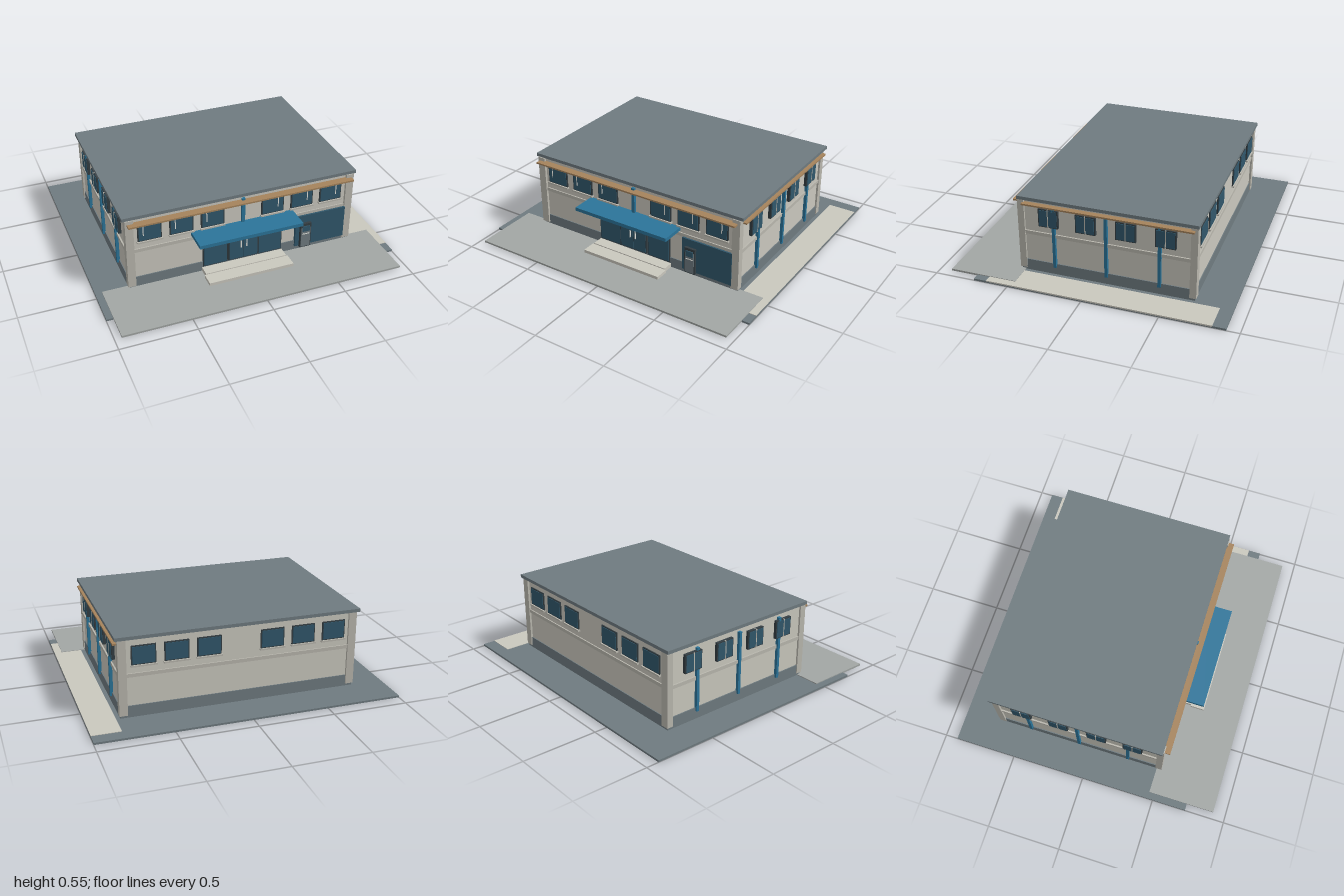
import * as THREE from 'three';

function material(name, color) {
  const m = new THREE.MeshStandardMaterial({ color });
  m.name = name;
  return m;
}

export function createModel() {
  const model = new THREE.Group();
  model.name = 'building';
  const wall = material('warm white wall', 0xcac8be);
  const trim = material('stone trim', 0xb9b7ae);
  const slate = material('slate grey', 0x6f7b80);
  const paving = material('paving grey', 0xa2a6a4);
  const blue = material('accent blue', 0x2b7499);
  const glass = material('dark blue glass', 0x31576b);
  const frame = material('dark frame', 0x343e43);
  const wood = material('wood', 0xa5835c);
  const white = material('off white', 0xe2e2dc);

  // Box given by its extents along each axis
  function box(name, mat, [x0, x1], [y0, y1], [z0, z1], parent = model) {
    const mesh = new THREE.Mesh(new THREE.BoxGeometry(x1 - x0, y1 - y0, z1 - z0), mat);
    mesh.position.set((x0 + x1) / 2, (y0 + y1) / 2, (z0 + z1) / 2);
    mesh.name = name;
    parent.add(mesh);
    return mesh;
  }

  // Grounds
  box('groundSlab', slate, [-1, 1], [0, 0.013], [-0.915, 0.73]);
  box('sidePath', wall, [0.81, 1], [0.006, 0.016], [-0.83, 0.645]);
  box('forecourt', paving, [-0.955, 0.95], [0.006, 0.019], [0.465, 0.915]);

  // Main body
  box('walls', wall, [-0.775, 0.775], [0.013, 0.535], [-0.66, 0.482]);
  box('plinth', slate, [-0.782, 0.782], [0.012, 0.09], [-0.666, 0.488]);
  box('beltCourse', trim, [-0.785, 0.785], [0.281, 0.305], [-0.668, 0.49]);
  box('roof', slate, [-0.805, 0.805], [0.531, 0.553], [-0.683, 0.493]);
  for (const s of [-1, 1]) {
    for (const [z0, z1] of [[-0.674, -0.63], [0.455, 0.499]]) {
      const x = [s * 0.735, s * 0.788].sort((a, b) => a - b);
      box('cornerPillar', trim, x, [0.03, 0.53], [z0, z1]);
    }
  }
  box('frontWoodBeam', wood, [-0.775, 0.77], [0.496, 0.507], [0.482, 0.535]);
  box('sideWoodBeam', wood, [0.775, 0.812], [0.496, 0.507], [-0.655, 0.462]);

  // Window facing +z with its wall plane at z = 0
  function makeWindow(width, depth, barX, sill) {
    const g = new THREE.Group();
    g.name = 'window';
    const w = width / 2, h = 0.0625;
    box('windowFrame', frame, [-w, w], [-h, h], [-0.005, depth - 0.004], g);
    box('windowGlass', glass, [-w + 0.007, w - 0.007], [-h + 0.007, h - 0.007], [0, depth], g);
    if (sill) {
      box('windowSill', trim, [-w - 0.006, w + 0.006], [-h - 0.011, -h], [-0.005, depth + 0.006], g);
      box('windowBar', white, [barX - 0.003, barX + 0.003], [-0.02, 0.047], [depth - 0.002, depth + 0.002], g);
    } else {
      box('windowMullion', trim, [barX - 0.003, barX + 0.003], [-h, h], [0, depth + 0.002], g);
    }
    return g;
  }

  // Front and back window rows
  for (const x of [-0.63, -0.42, -0.21, 0.207, 0.416, 0.625]) {
    const front = makeWindow(0.157, 0.014, x < 0 ? -0.043 : 0.036, true);
    front.position.set(x, 0.422, 0.482);
    model.add(front);
    const back = makeWindow(0.157, 0.012, 0, true);
    back.remove(back.getObjectByName('windowBar'));
    back.rotation.y = Math.PI;
    back.position.set(x, 0.422, -0.66);
    model.add(back);
  }

  // Side windows and slim blue columns
  for (const s of [-1, 1]) {
    for (const z of [0.29, 0.042, -0.22, -0.475]) {
      const side = makeWindow(0.132, 0.024, 0, false);
      side.rotation.y = s * Math.PI / 2;
      side.position.set(s * 0.775, 0.418, z);
      model.add(side);
    }
    for (const z of [0.257, -0.09, -0.437]) {
      const x = [s * 0.77, s * 0.795].sort((a, b) => a - b);
      box('sideColumn', blue, x, [0.068, 0.498], [z - 0.01, z + 0.01]);
    }
  }
  box('frontColumn', blue, [-0.012, 0.01], [0.34, 0.52], [0.48, 0.5]);

  // Entrance: glazed side panels and double door
  for (const s of [-1, 1]) {
    const panel = [s * 0.108, s * 0.278].sort((a, b) => a - b);
    box('entrancePanelFrame', frame, panel, [0.055, 0.285], [0.48, 0.495]);
    box('entrancePanelGlass', glass, [panel[0] + 0.006, panel[1] - 0.006], [0.062, 0.278], [0.485, 0.499]);
    const leaf = [s * 0.002, s * 0.098].sort((a, b) => a - b);
    box('doorLeaf', glass, leaf, [0.072, 0.292], [0.49, 0.51]);
    const x = s * 0.02;
    box('doorHandle', white, [x - 0.003, x + 0.003], [0.155, 0.21], [0.505, 0.517]);
  }
  box('doorFrame', frame, [-0.106, 0.104], [0.065, 0.3], [0.48, 0.506]);

  // Canopy and steps
  box('canopy', blue, [-0.356, 0.354], [0.318, 0.342], [0.482, 0.652]);
  box('canopyBeam', blue, [-0.32, 0.312], [0.28, 0.318], [0.482, 0.512]);
  box('signPlate', white, [-0.253, -0.228], [0.293, 0.315], [0.51, 0.516]);
  box('lowerStep', wall, [-0.295, 0.295], [0.015, 0.04], [0.565, 0.66]);
  box('upperStep', wall, [-0.285, 0.285], [0.015, 0.046], [0.482, 0.565]);

  // Glazed bay with a service machine
  box('bayPanel', glass, [0.377, 0.74], [0.05, 0.284], [0.48, 0.502]);
  box('machineBody', frame, [0.406, 0.484], [0.045, 0.23], [0.49, 0.52]);
  box('machineFace', slate, [0.412, 0.478], [0.052, 0.2], [0.515, 0.523]);
  box('machineScreen', glass, [0.418, 0.472], [0.172, 0.212], [0.518, 0.526]);
  box('machineSlot', white, [0.42, 0.47], [0.15, 0.155], [0.52, 0.526]);

  return model;
}
